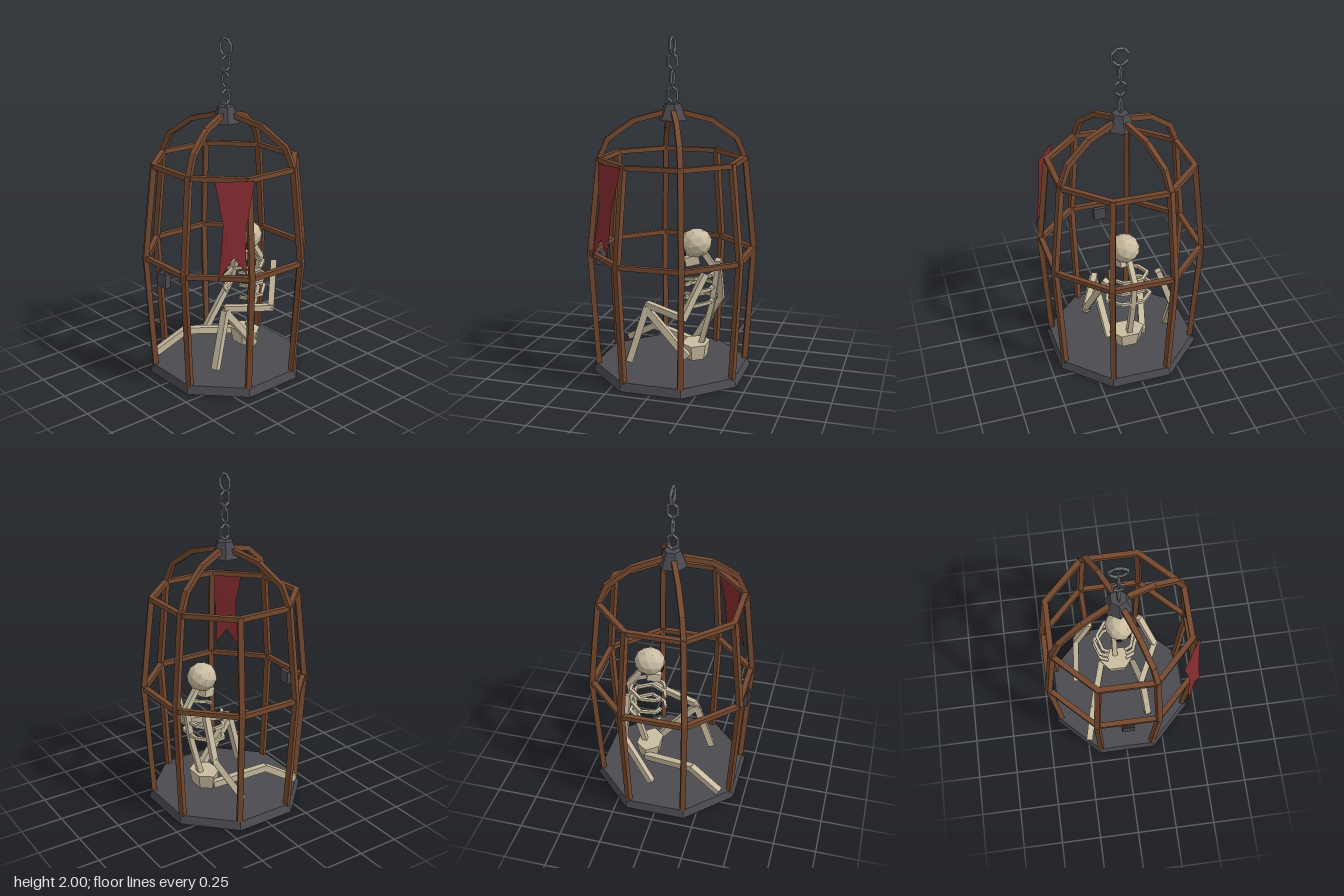
import * as THREE from 'three';

const mat = (name, color) => {
  const m = new THREE.MeshStandardMaterial({ color, flatShading: true });
  m.name = name;
  return m;
};

export function createModel() {
  const root = new THREE.Group();
  root.name = 'hangingCage';
  const wood = mat('rustyBrown', 0x75492f);
  const iron = mat('darkIron', 0x4a4a50);
  const steel = mat('chainGrey', 0x6b6d71);
  const bone = mat('bone', 0xc9bca1);
  const cloth = mat('redCloth', 0x832b30);
  cloth.side = THREE.DoubleSide;
  const dark = mat('socketDark', 0x2a2422);

  const group = (name, parent = root) => {
    const g = new THREE.Group();
    g.name = name;
    parent.add(g);
    return g;
  };
  const add = (parent, name, geo, m, x = 0, y = 0, z = 0) => {
    const mesh = new THREE.Mesh(geo, m);
    mesh.name = name;
    mesh.position.set(x, y, z);
    parent.add(mesh);
    return mesh;
  };
  // Square bar between two points
  const bar = (parent, name, a, b, w, m, over = 0) => {
    const p = new THREE.Vector3(...a), q = new THREE.Vector3(...b);
    const mesh = add(parent, name, new THREE.BoxGeometry(w, w, p.distanceTo(q) + over), m);
    mesh.position.copy(p).add(q).multiplyScalar(0.5);
    mesh.lookAt(q);
    return mesh;
  };
  const chainOfBars = (parent, name, pts, w, m, over) => {
    for (let i = 0; i < pts.length - 1; i++) bar(parent, name, pts[i], pts[i + 1], w, m, over);
  };

  // Octagonal floor
  const floor = new THREE.CylinderGeometry(0.462, 0.478, 0.05, 8).rotateY(Math.PI / 8);
  add(root, 'floor', floor, iron, 0, 0.025, 0);

  // Mitred octagonal hoops
  const octagon = (path, r) => {
    for (let i = 0; i < 8; i++) {
      const t = (i + 0.5) * Math.PI / 4;
      path[i ? 'lineTo' : 'moveTo'](r * Math.cos(t), r * Math.sin(t));
    }
    path.closePath();
    return path;
  };
  const hoop = (name, r, y) => {
    const shape = octagon(new THREE.Shape(), r);
    shape.holes.push(octagon(new THREE.Path(), r - 0.033));
    const geo = new THREE.ExtrudeGeometry(shape, { depth: 0.028, bevelEnabled: false });
    add(root, name, geo.rotateX(-Math.PI / 2), wood, 0, y - 0.014, 0);
  };
  hoop('middleHoop', 0.5, 0.738);
  hoop('upperHoop', 0.443, 1.29);

  // Eight uprights; every second one continues into the dome
  const cage = group('cageBars');
  const wall = [[0.445, 0.04], [0.488, 0.738], [0.428, 1.295]];
  const dome = [[0.428, 1.29], [0.375, 1.41], [0.225, 1.515], [0.06, 1.558]];
  for (let i = 0; i < 8; i++) {
    const t = (i + 0.5) * Math.PI / 4;
    const place = ([r, y]) => [r * Math.cos(t), y, r * Math.sin(t)];
    chainOfBars(cage, 'upright', wall.map(place), 0.032, wood, 0.008);
    if (i % 2) chainOfBars(cage, 'domeBar', dome.map(place), 0.03, wood, 0.012);
  }

  // Hub and chain
  add(root, 'hub', new THREE.CylinderGeometry(0.048, 0.085, 0.095, 6), iron, 0, 1.563, 0);
  const chain = group('chain');
  [1.66, 1.757, 1.85].forEach((y, i) => {
    const link = new THREE.TorusGeometry(0.032, 0.0085, 4, 6).rotateZ(Math.PI / 6).scale(1, 1.42, 1);
    if (i % 2 === 0) link.rotateY(Math.PI / 2);
    add(chain, 'chainLink', link, steel, 0, y, 0);
  });
  add(chain, 'topRing', new THREE.TorusGeometry(0.05, 0.01, 4, 8).rotateZ(Math.PI / 8), steel, 0, 1.942, 0);

  // Padlock on the front
  const lock = group('padlock');
  add(lock, 'lockBody', new THREE.BoxGeometry(0.078, 0.08, 0.035), iron, 0, 0.663, 0.457);
  add(lock, 'shackle', new THREE.TorusGeometry(0.026, 0.007, 4, 8, Math.PI), iron, 0, 0.703, 0.468);

  // Torn banner with a forked end
  const corners = [
    [0.32, 1.295, 0.34], [0.44, 1.295, 0.16],
    [0.365, 1.06, 0.32], [0.44, 1.06, 0.215],
    [0.372, 0.9, 0.34], [0.418, 0.88, 0.288], [0.45, 0.9, 0.23],
    [0.377, 0.75, 0.366], [0.465, 0.785, 0.235],
  ];
  const banner = new THREE.BufferGeometry();
  banner.setAttribute('position', new THREE.Float32BufferAttribute(corners.flat(), 3));
  banner.setIndex([0, 2, 1, 1, 2, 3, 2, 4, 5, 2, 5, 3, 3, 5, 6, 4, 7, 5, 5, 8, 6]);
  banner.computeVertexNormals();
  add(root, 'banner', banner, cloth);

  // Skeleton seated on the floor
  const body = group('skeleton');
  add(body, 'pelvis', new THREE.CylinderGeometry(0.112, 0.092, 0.09, 6).rotateY(Math.PI / 6).scale(1, 1, 0.75),
    bone, 0.005, 0.14, -0.15);
  chainOfBars(body, 'spine', [[0, 0.17, -0.18], [0, 0.42, -0.245], [0, 0.63, -0.275], [0.01, 0.75, -0.19]],
    0.032, bone, 0.01);

  // Ribs, sloping down to the front
  [[0.62, 0.85], [0.54, 1], [0.46, 1]].forEach(([y, s]) => {
    for (const side of [-1, 1]) {
      const pts = [[0, y, -0.255], [0.07, y, -0.25], [0.138, y - 0.012, -0.17], [0.105, y - 0.028, -0.08],
        [0.06, y - 0.03, -0.062]].map(([x, py, z]) => [x * s * side, py, z]);
      chainOfBars(body, 'rib', pts, 0.018, bone, 0.006);
    }
  });

  // Limbs, joint to joint
  const limb = (name, pts, w) => chainOfBars(group(name, body), name + 'Bone', pts, w, bone, 0.02);
  limb('rightArm', [[-0.16, 0.65, -0.24], [-0.25, 0.39, -0.24], [-0.28, 0.11, -0.07]], 0.036);
  limb('leftArm', [[0.165, 0.65, -0.24], [0.255, 0.41, -0.14], [0.135, 0.432, 0.11]], 0.036);
  limb('rightLeg', [[-0.1, 0.135, -0.14], [-0.188, 0.19, 0.17], [-0.238, 0.085, 0.35]], 0.04);
  limb('leftLeg', [[0.115, 0.13, -0.12], [0.14, 0.41, 0.12], [0.168, 0.09, 0.215]], 0.04);

  // Skull, turned and tipped forward
  const head = group('head', body);
  head.position.set(0.022, 0.8, -0.15);
  head.rotation.set(0.22, 0.35, 0, 'YXZ');
  add(head, 'skull', new THREE.IcosahedronGeometry(0.092, 1).scale(0.94, 0.95, 1.04), bone);
  add(head, 'jaw', new THREE.BoxGeometry(0.08, 0.055, 0.085), bone, 0, -0.093, 0.045);
  for (const side of [-1, 1]) {
    add(head, 'eyeSocket', new THREE.SphereGeometry(0.022, 6, 4).scale(1, 1, 0.5),
      dark, side * 0.035, -0.022, 0.08).rotation.y = side * 0.4;
  }
  add(head, 'noseHole', new THREE.ConeGeometry(0.011, 0.022, 3).scale(1, 1, 0.6), dark, 0, -0.052, 0.076);

  return root;
}
